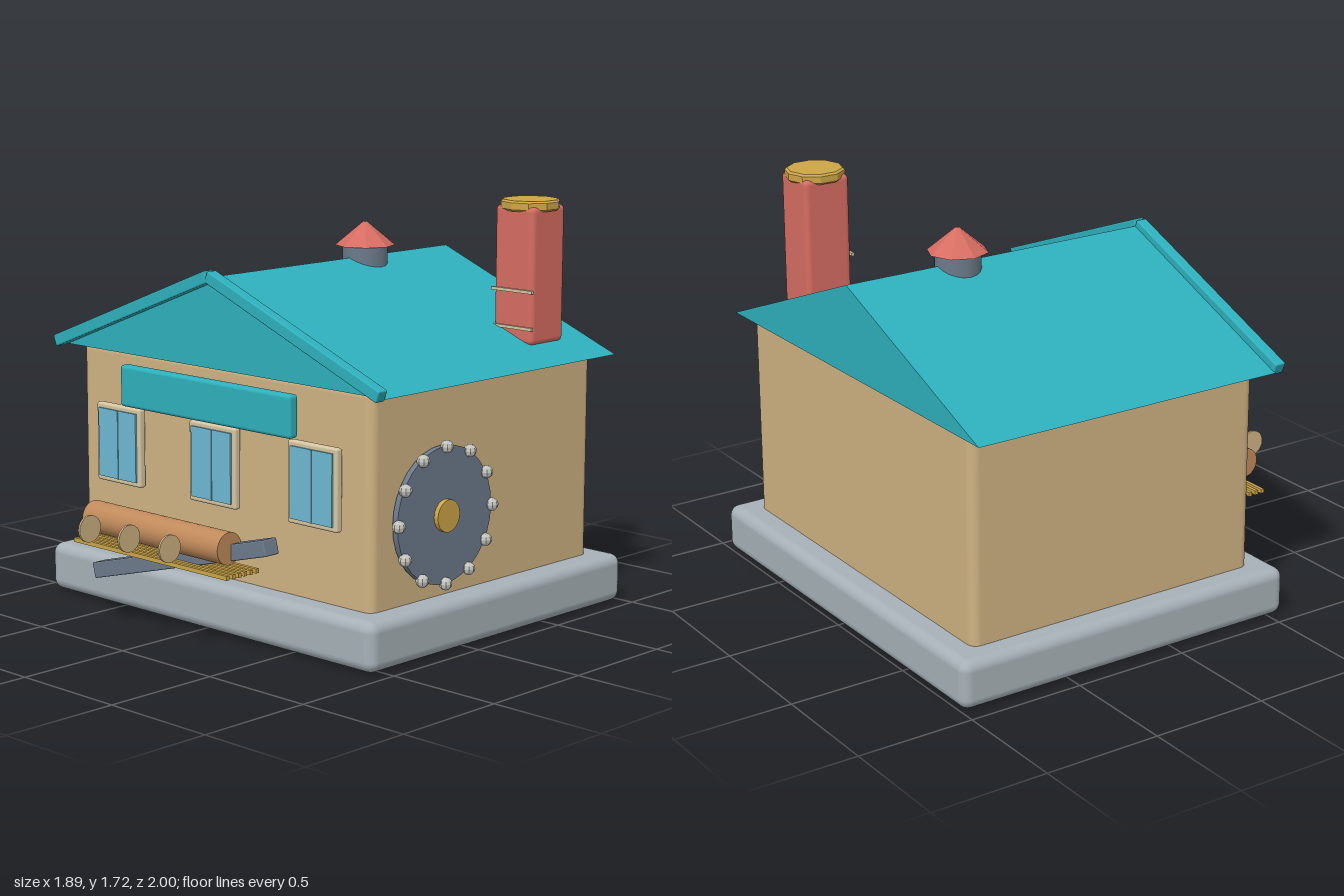
import * as THREE from 'three';
import { RoundedBoxGeometry } from 'three/addons/geometries/RoundedBoxGeometry.js';

const paint = (name, color, flatShading = false) => {
  const m = new THREE.MeshStandardMaterial({ color });
  m.name = name;
  m.flatShading = flatShading;
  return m;
};

export function createModel() {
  const model = new THREE.Group();
  model.name = 'house';

  const stone = paint('stone', 0xa6b1b7);
  const tan = paint('tan', 0xcfb282);
  const teal = paint('teal', 0x2eb0bc);
  const brick = paint('brickRed', 0xd66d62, true);
  const gold = paint('gold', 0xcda548, true);
  const slate = paint('slate', 0x6c7a8b);
  const cream = paint('cream', 0xd6c6a2);
  const glass = paint('glass', 0x6db8d2);
  const wood = paint('wood', 0xc08a5b);
  const silver = paint('silver', 0xc4c4be, true);

  const add = (name, geo, mat, x, y, z, parent = model) => {
    const mesh = new THREE.Mesh(geo, mat);
    mesh.name = name;
    mesh.position.set(x, y, z);
    parent.add(mesh);
    return mesh;
  };
  const box = (w, h, d) => new THREE.BoxGeometry(w, h, d);
  const round = (w, h, d, r) => new RoundedBoxGeometry(w, h, d, 3, r);
  const cyl = (r, h, n) => new THREE.CylinderGeometry(r, r, h, n);

  // Base slab and walls
  add('base', round(1.89, 0.205, 1.57, 0.045), stone, 0, 0.1025, -0.215);
  add('walls', round(1.68, 0.94, 1.35, 0.04), tan, 0, 0.62, -0.215);

  // Solid gable roof
  const gable = new THREE.Shape();
  gable.moveTo(-0.94, 1.07);
  gable.lineTo(0.94, 1.07);
  gable.lineTo(0, 1.445);
  gable.closePath();
  add('roof', new THREE.ExtrudeGeometry(gable, { depth: 1.41, bevelEnabled: false }), teal, 0, 0, -0.92);

  // Sloping trim boards on the front gable
  for (const s of [-1, 1]) {
    const trim = add('gableTrim', round(1.006, 0.05, 0.05, 0.006), teal, s * 0.468, 1.266, 0.51);
    trim.rotation.z = -s * 0.374;
  }

  // Sign board
  add('signBoard', round(0.99, 0.175, 0.05, 0.015), teal, -0.003, 0.947, 0.53);

  // Chimney with straps on its front face
  add('chimney', round(0.205, 0.57, 0.21, 0.022), paintSmooth(brick), 0.69, 1.415, -0.655);
  const cap = new THREE.LatheGeometry(
    [[0, -0.022], [0.115, -0.022], [0.125, -0.014], [0.125, 0.014], [0.115, 0.022], [0, 0.022]]
      .map(([x, y]) => new THREE.Vector2(x, y)), 10);
  add('chimneyCap', cap, gold, 0.69, 1.7, -0.655);
  for (const y of [1.2, 1.353]) add('chimneyStrap', box(0.215, 0.013, 0.013), cream, 0.69, y, -0.546);

  // Roof vent
  add('ventPipe', cyl(0.096, 0.1, 20), slate, 0, 1.45, -0.4);
  add('ventHat', new THREE.CylinderGeometry(0.008, 0.127, 0.1, 8), brick, 0, 1.543, -0.4);

  // Front windows: frame plate, two panes and a slim mullion
  for (const x of [-0.568, 0, 0.564]) {
    const win = new THREE.Group();
    win.name = 'window';
    win.position.set(x, 0.678, 0);
    model.add(win);
    add('windowFrame', round(0.27, 0.335, 0.034, 0.01), cream, 0, 0, 0.488, win);
    for (const s of [-1, 1]) add('windowPane', box(0.108, 0.293, 0.009), glass, s * 0.061, 0, 0.508, win);
    add('windowMullion', box(0.014, 0.293, 0.012), glass, 0, 0, 0.51, win);
  }

  // Studded wheel on the left side wall
  const wheel = new THREE.Group();
  wheel.name = 'wheel';
  wheel.position.set(0.863, 0.54, 0.07);
  model.add(wheel);
  add('wheelDisc', cyl(0.28, 0.026, 32), slate, 0, 0, 0, wheel).rotation.z = Math.PI / 2;
  add('wheelHub', cyl(0.066, 0.03, 20), gold, 0.018, 0, 0, wheel).rotation.z = Math.PI / 2;
  const stud = new THREE.SphereGeometry(0.027, 8, 6);
  for (let i = 0; i < 12; i++) {
    const a = (i * Math.PI) / 6;
    add('wheelStud', stud, silver, 0.019, 0.278 * Math.cos(a), 0.278 * Math.sin(a), wheel);
  }

  // Log, leaning beam, rack rods and thin slices in front of the house
  add('log', cyl(0.066, 0.795, 28), wood, -0.018, 0.443, 0.775).rotation.z = Math.PI / 2;
  add('beam', round(1.035, 0.066, 0.076, 0.006), slate, 0.063, 0.34, 0.729).rotation.z = 0.262;
  for (let i = 0; i < 6; i++) add('rackRod', box(0.905, 0.018, 0.016), gold, -0.047, 0.335, 0.648 + i * 0.032);
  for (const x of [-0.253, -0.017, 0.218]) {
    add('slice', cyl(0.056, 0.01, 24), tan, x, 0.445, 0.944).rotation.z = Math.PI / 2;
  }

  return model;
}

// Same colour with smooth normals for rounded edges
function paintSmooth(material) {
  material.flatShading = true;
  return material;
}
